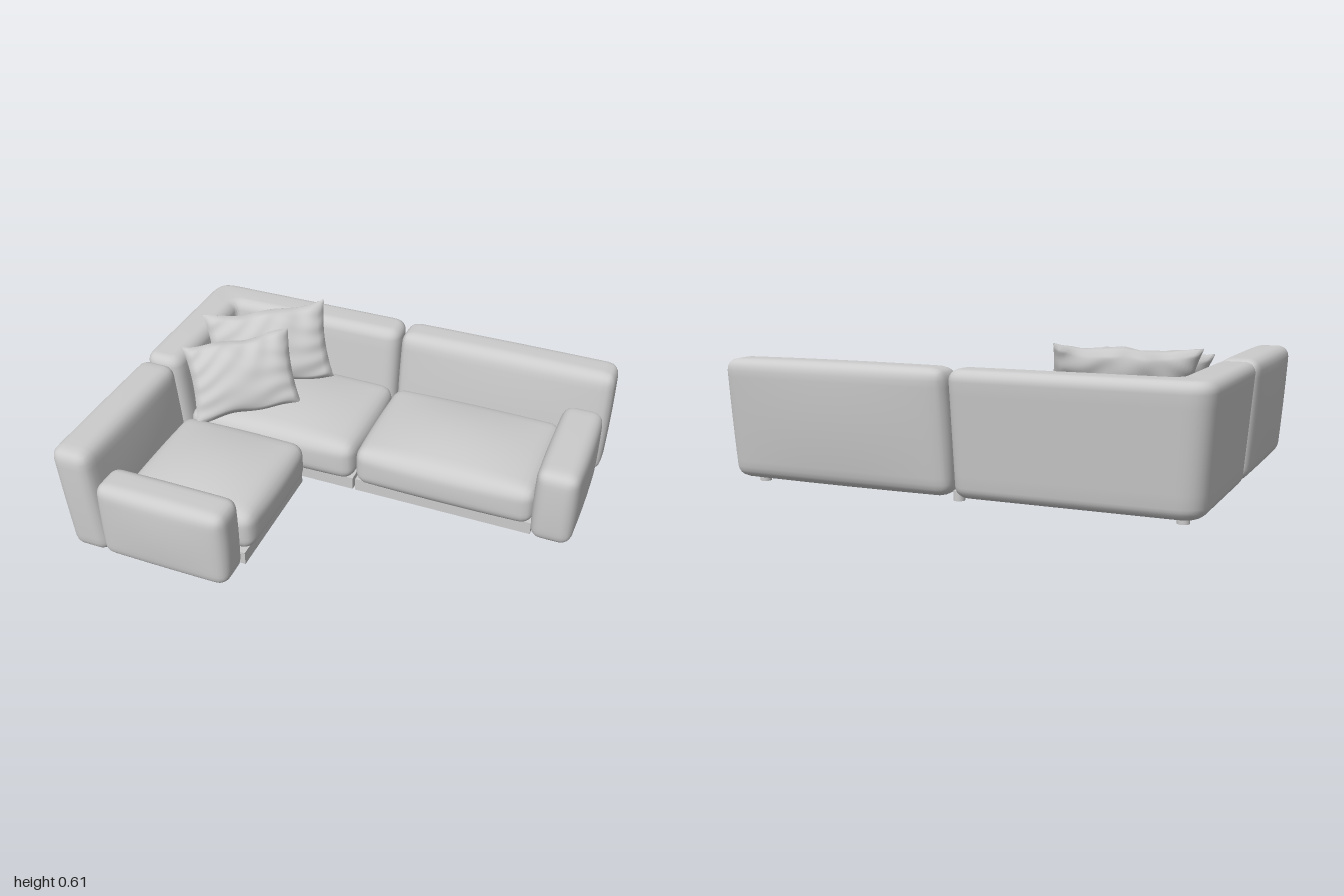
import * as THREE from 'three';
import { mergeVertices, toCreasedNormals } from 'three/addons/utils/BufferGeometryUtils.js';

const material = new THREE.MeshStandardMaterial({ color: 0xcccccc });

// Smooth normals across the whole surface
function smooth(geo) {
  geo.deleteAttribute('uv');
  geo.deleteAttribute('normal');
  const merged = mergeVertices(geo, 1e-5);
  merged.computeVertexNormals();
  return merged;
}

// Upholstered block: rounded edges, bulging faces, optional outward lean of the top
function slab([x0, x1], [y0, y1], [z0, z1], r, bulge, lean = [0, 0]) {
  const half = [(x1 - x0) / 2, (y1 - y0) / 2, (z1 - z0) / 2];
  const geo = new THREE.BoxGeometry(2, 2, 2, 20, 20, 20);
  const pos = geo.attributes.position;
  const p = new THREE.Vector3(), core = new THREE.Vector3();
  for (let i = 0; i < pos.count; i++) {
    p.fromBufferAttribute(pos, i);
    const a = p.toArray().map((t, k) => Math.sin(t * Math.PI / 2) * half[k]);
    core.set(...a.map((v, k) => THREE.MathUtils.clamp(v, r - half[k], half[k] - r)));
    p.set(...a).sub(core).setLength(r).add(core);
    const t = p.toArray().map((v, k) => v / half[k]);
    const f = t.map(v => Math.max(0, 1 - v * v));
    p.x += bulge[0] * t[0] * f[1] * f[2];
    p.y += bulge[1] * t[1] * f[0] * f[2];
    p.z += bulge[2] * t[2] * f[0] * f[1];
    const h = (t[1] + 1) / 2;
    pos.setXYZ(i, p.x + lean[0] * h, p.y, p.z + lean[1] * h);
  }
  geo.translate((x0 + x1) / 2, (y0 + y1) / 2, (z0 + z1) / 2);
  return smooth(geo);
}

// Polygon with each corner cut by a curve
function roundedShape(points, radii) {
  const shape = new THREE.Shape();
  points.forEach((c, i) => {
    const prev = points[(i + points.length - 1) % points.length];
    const next = points[(i + 1) % points.length];
    const a = c.clone().add(prev.clone().sub(c).setLength(radii[i]));
    const b = c.clone().add(next.clone().sub(c).setLength(radii[i]));
    if (i) shape.lineTo(a.x, a.y); else shape.moveTo(a.x, a.y);
    shape.quadraticCurveTo(c.x, c.y, b.x, b.y);
  });
  shape.closePath();
  return shape;
}

// L-shaped corner backrest, leaning outwards on both wings
function cornerBack() {
  const V = (x, z) => new THREE.Vector2(x, -z);
  const outline = [V(-0.955, -0.005), V(-0.785, -0.005), V(-0.785, -0.53),
    V(-0.005, -0.53), V(-0.005, -0.695), V(-0.955, -0.695)];
  const b = 0.045;
  const geo = new THREE.ExtrudeGeometry(roundedShape(outline, [0.07, 0.07, 0.03, 0.07, 0.07, 0.1]), {
    depth: 0.49 - 2 * b, steps: 8, curveSegments: 8,
    bevelSize: b, bevelThickness: b, bevelOffset: -b, bevelSegments: 6,
  });
  geo.rotateX(-Math.PI / 2).translate(0, 0.022 + b, 0);
  const pos = geo.attributes.position;
  for (let i = 0; i < pos.count; i++) {
    const h = (pos.getY(i) - 0.022) / 0.49;
    const x = pos.getX(i), z = pos.getZ(i);
    pos.setX(i, x - 0.045 * h * THREE.MathUtils.smoothstep(-x, 0.2, 0.75));
    pos.setZ(i, z - 0.055 * h * THREE.MathUtils.smoothstep(-z, 0.15, 0.5));
  }
  return toCreasedNormals(geo, 0.6);
}

// Throw pillow: puffed centre, thin seam, pointed corners and soft creases
function pillow(w, h, thick, phase) {
  const geo = new THREE.BoxGeometry(2, 2, 2, 32, 32, 1);
  const pos = geo.attributes.position;
  for (let i = 0; i < pos.count; i++) {
    const u = pos.getX(i), v = pos.getY(i), side = pos.getZ(i);
    const puff = Math.pow((1 - u * u) * (1 - v * v), 0.45);
    const crease = 0.009 * Math.sin(9 * u * v + 5 * u + phase) * Math.sin(7 * v - 3 * u + phase) * (1 - puff * 0.5);
    const edge = Math.min(1, 4 * puff);
    pos.setXYZ(i,
      u * w / 2 * (1 - 0.07 * (1 - v * v)),
      v * h / 2 * (1 - 0.08 * (1 - u * u)) + 0.006 * Math.sin(6 * u + phase),
      side * (0.003 + thick / 2 * puff) + crease * edge);
  }
  return smooth(geo);
}

export function createModel() {
  const group = new THREE.Group();
  const add = (name, geo) => {
    const mesh = new THREE.Mesh(geo, material);
    mesh.name = name;
    group.add(mesh);
    return mesh;
  };
  const box = ([x0, x1], [y0, y1], [z0, z1]) => new THREE.BoxGeometry(x1 - x0, y1 - y0, z1 - z0)
    .translate((x0 + x1) / 2, (y0 + y1) / 2, (z0 + z1) / 2);

  // Backrests
  const backY = [0.022, 0.512];
  add('cornerBackrest', cornerBack());
  add('leftBackrest', slab([0.006, 0.982], backY, [-0.695, -0.53], 0.05, [0.006, 0.004, 0.012], [0, -0.055]));
  add('rightBackrest', slab([-0.955, -0.785], backY, [0.006, 0.738], 0.05, [0.012, 0.004, 0.006], [-0.04, 0]));

  // Armrests
  const armY = [0.022, 0.38];
  add('leftArmrest', slab([0.797, 0.972], armY, [-0.535, 0], 0.048, [0.012, 0.003, 0.008]));
  add('frontArmrest', slab([-0.81, -0.243], armY, [0.572, 0.742], 0.048, [0.008, 0.003, 0.012]));

  // Seat cushions over recessed plinths
  const seats = {
    corner: [[-0.8, -0.006], [-0.56, -0.006]],
    left: [[0.006, 0.8], [-0.56, -0.006]],
    right: [[-0.8, -0.212], [0.006, 0.565]],
  };
  for (const [name, [x, z]] of Object.entries(seats)) {
    add(name + 'SeatCushion', slab(x, [0.072, 0.257], z, 0.055, [0.01, 0.038, 0.01]));
    const px = name === 'right' ? [-0.8, -0.235] : x;
    const pz = name === 'right' ? [0.006, 0.58] : [-0.56, -0.03];
    add(name + 'Plinth', box(px, [0.025, 0.085], pz));
  }

  // Throw pillows: centre, direction along the width, direction up the height
  const pillows = [
    ['backPillow', [-0.565, 0.428, -0.39], [0.47, 0.03, -0.29], [-0.1, 0.32, -0.12], 0.56, 0.36, 1],
    ['frontPillow', [-0.588, 0.408, -0.155], [0.39, 0.03, -0.275], [-0.12, 0.29, -0.13], 0.48, 0.35, 3.4],
  ];
  for (const [name, centre, along, up, w, h, phase] of pillows) {
    const u = new THREE.Vector3(...along).normalize();
    const n = u.clone().cross(new THREE.Vector3(...up)).normalize();
    const v = n.clone().cross(u);
    const mesh = add(name, pillow(w, h, 0.15, phase));
    mesh.quaternion.setFromRotationMatrix(new THREE.Matrix4().makeBasis(u, v, n));
    mesh.position.set(...centre);
  }

  // Feet
  for (const [x, z] of [[-0.87, 0.67], [-0.33, 0.67], [-0.87, -0.61], [0, -0.61], [0.89, -0.61], [0.89, -0.08]]) {
    add('foot', new THREE.CylinderGeometry(0.023, 0.023, 0.04, 20).translate(x, 0.02, z));
  }
  return group;
}
